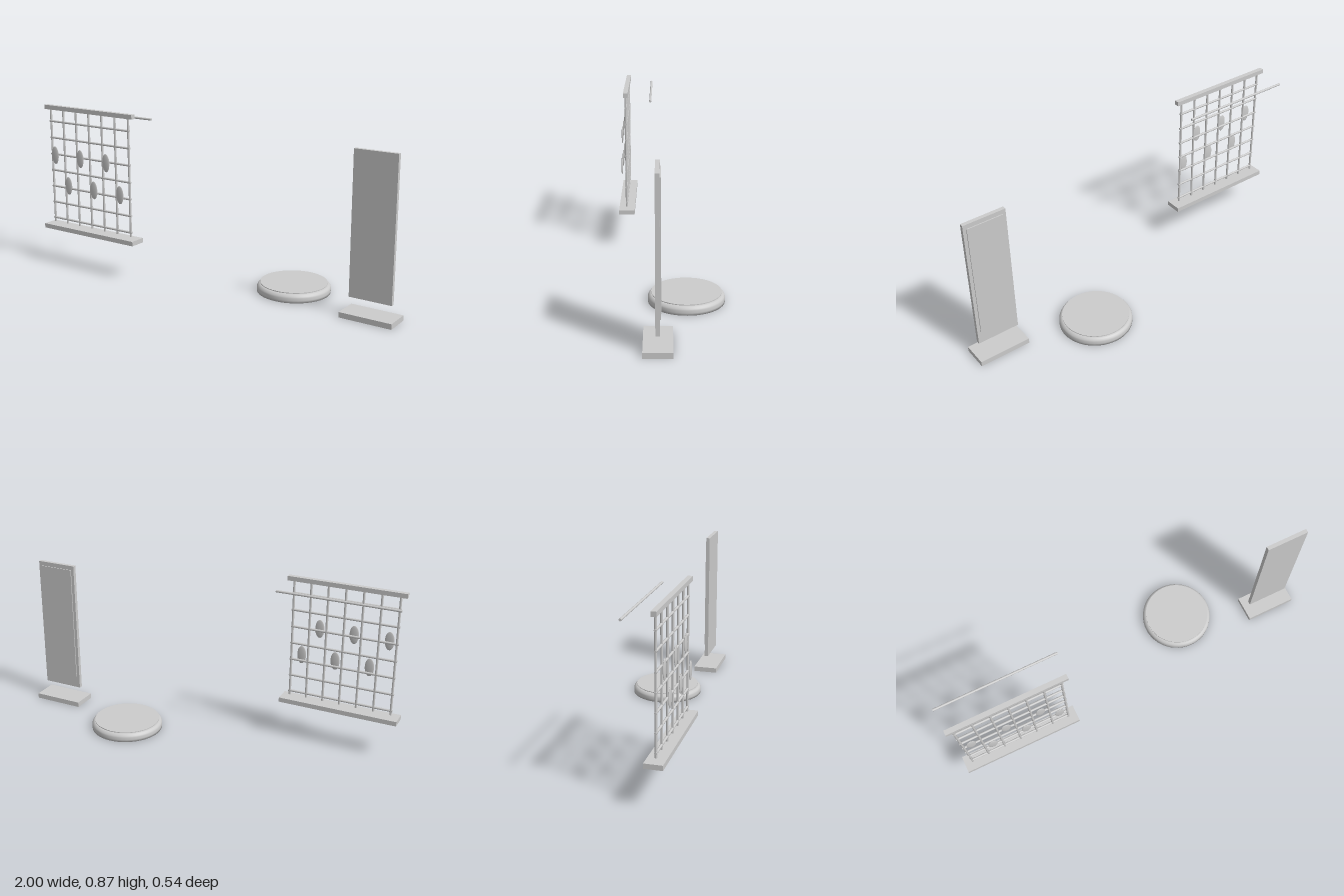
import * as THREE from 'three';

const material = new THREE.MeshStandardMaterial({ color: 0xcccccc, side: THREE.DoubleSide });

function add(parent, name, geometry, x, y, z) {
  const mesh = new THREE.Mesh(geometry, material);
  mesh.name = name;
  mesh.position.set(x, y, z);
  parent.add(mesh);
  return mesh;
}

// Box given by its minimum and maximum corners
function box(parent, name, [x0, y0, z0], [x1, y1, z1]) {
  return add(parent, name, new THREE.BoxGeometry(x1 - x0, y1 - y0, z1 - z0),
    (x0 + x1) / 2, (y0 + y1) / 2, (z0 + z1) / 2);
}

// Horizontal round rod along x
function rod(parent, name, length, radius, x, y, z) {
  add(parent, name, new THREE.CylinderGeometry(radius, radius, length, 12), x, y, z).rotation.z = Math.PI / 2;
}

function createTrellis() {
  const trellis = new THREE.Group();
  trellis.name = 'trellis';
  const cx = -0.69, cz = 0.229;

  box(trellis, 'sill', [-1, 0.19, 0.185], [-0.38, 0.214, 0.271]);
  box(trellis, 'topRail', [-0.99, 0.844, 0.217], [-0.39, 0.867, 0.242]);

  // Lattice of seven uprights and seven crossbars
  for (let i = 0; i < 7; i++) {
    add(trellis, 'upright', new THREE.CylinderGeometry(0.006, 0.006, 0.62, 12), cx + (i - 3) * 0.089, 0.535, cz);
    rod(trellis, 'crossbar', 0.55, 0.006, cx, 0.247 + i * 0.089, cz);
  }

  // Flat oval leaves, alternating between two rows
  for (let i = 0; i < 6; i++) {
    const leaf = add(trellis, 'leaf', new THREE.SphereGeometry(1, 20, 14),
      -0.914 + i * 0.089, i % 2 ? 0.446 : 0.603, 0.254);
    leaf.scale.set(0.024, 0.048, 0.005);
  }

  rod(trellis, 'hangingRod', 0.62, 0.006, cx, 0.825, 0.095);
  return trellis;
}

function createRoundStool() {
  const stool = new THREE.Group();
  stool.name = 'roundPlinth';
  stool.position.set(0.375, 0, -0.085);
  const profile = [[0, 0], [0.186, 0], [0.186, 0.012], [0.186, 0.024], [0.183, 0.031],
    [0.177, 0.038], [0.168, 0.043], [0, 0.044]].map(([r, y]) => new THREE.Vector2(r, y));
  add(stool, 'plinthBody', new THREE.LatheGeometry(profile, 48), 0, 0, 0);
  add(stool, 'plinthTop', new THREE.CylinderGeometry(0.17, 0.17, 0.004, 48), 0, 0.046, 0);
  return stool;
}

function createStandingPanel() {
  const panel = new THREE.Group();
  panel.name = 'standingPanel';
  box(panel, 'foot', [0.732, 0, -0.017], [1, 0.027, 0.115]);
  box(panel, 'board', [0.754, 0.091, 0.04], [0.973, 0.8, 0.06]);
  box(panel, 'backPlate', [0.77, 0.157, 0.035], [0.956, 0.777, 0.041]);
  return panel;
}

export function createModel() {
  const model = new THREE.Group();
  model.name = 'gardenSet';
  model.add(createTrellis(), createRoundStool(), createStandingPanel());
  return model;
}
